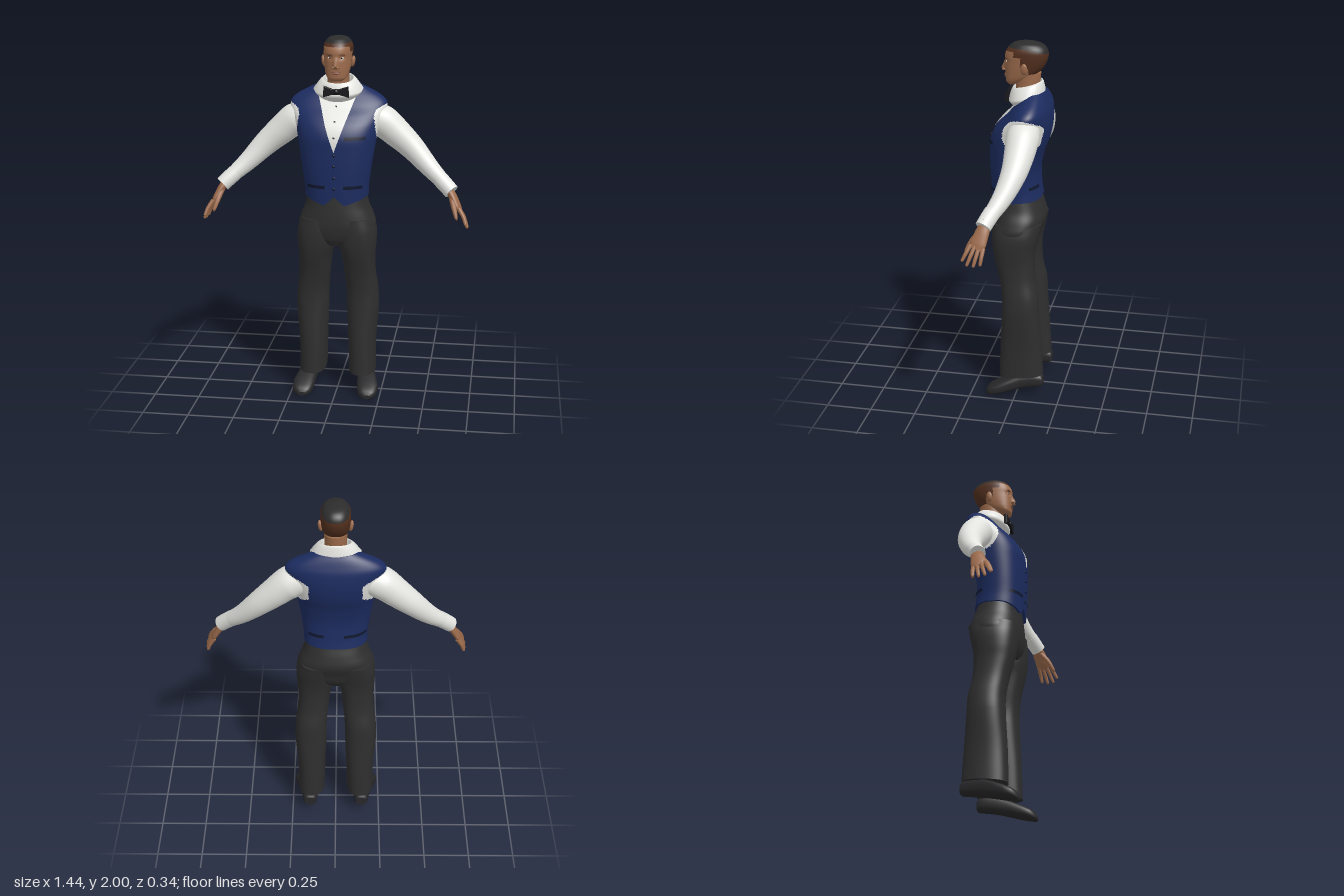
import * as THREE from 'three';

const mat = (name, color) => Object.assign(new THREE.MeshStandardMaterial({ color }), { name });
const V = (x, y, z) => new THREE.Vector3(x, y, z);
const { clamp, lerp } = THREE.MathUtils;

// Closed surface through rings of points; pick(point) chooses a material index per face
function skin(rings, pick = () => 0, caps = true) {
  const n = rings[0].length, pts = rings.flat(), tris = [];
  for (let i = 0; i < rings.length - 1; i++)
    for (let j = 0; j < n; j++) {
      const a = i * n + j, b = i * n + (j + 1) % n, c = a + n, d = b + n;
      tris.push([a, c, b], [b, c, d]);
    }
  if (caps) for (const [ring, top] of [[rings[0], false], [rings.at(-1), true]]) {
    const s = pts.length, mid = V(0, 0, 0);
    ring.forEach(p => mid.addScaledVector(p, 1 / n));
    pts.push(...ring, mid);
    for (let j = 0; j < n; j++) {
      const a = s + j, b = s + (j + 1) % n;
      tris.push(top ? [s + n, b, a] : [s + n, a, b]);
    }
  }
  const sets = [];
  for (const t of tris) {
    const m = pick(V(0, 0, 0).add(pts[t[0]]).add(pts[t[1]]).add(pts[t[2]]).divideScalar(3));
    (sets[m] ??= []).push(...t);
  }
  const g = new THREE.BufferGeometry().setFromPoints(pts);
  g.setIndex(sets.flat());
  let start = 0;
  sets.forEach((s, m) => { g.addGroup(start, s.length, m); start += s.length; });
  g.computeVertexNormals();
  return g;
}

// Smooth interpolation of profile rows [y, halfWidth, zFront, zBack, power, centreX]
function sample(rows, y) {
  let i = 0;
  while (i < rows.length - 2 && y > rows[i + 1][0]) i++;
  const a = rows[i], b = rows[i + 1], h = b[0] - a[0], t = clamp((y - a[0]) / h, 0, 1);
  const p = rows[Math.max(i - 1, 0)], q = rows[Math.min(i + 2, rows.length - 1)];
  return a.map((v, k) => {
    if (k === 0) return y;
    const m0 = (b[k] - p[k]) / (b[0] - p[0]) * h, m1 = (q[k] - v) / (q[0] - a[0]) * h;
    return (2 * t ** 3 - 3 * t * t + 1) * v + (t ** 3 - 2 * t * t + t) * m0
      + (3 * t * t - 2 * t ** 3) * b[k] + (t ** 3 - t * t) * m1;
  });
}
const power = (v, n) => Math.sign(v) * Math.abs(v) ** (2 / n);
function oval([y, rx, zf, zb, n = 2.3, cx = 0], seg) {
  return Array.from({ length: seg }, (_, j) => {
    const t = j / seg * Math.PI * 2;
    return V(cx + rx * power(Math.cos(t), n), y, (zf + zb) / 2 + (zf - zb) / 2 * power(Math.sin(t), n));
  });
}
// Upright body part from profile rows, with an optional rule moving its points
function body(rows, { seg = 48, steps = 5, move, pick } = {}) {
  const rings = [];
  for (let i = 0; i < rows.length - 1; i++)
    for (let k = i ? 1 : 0; k <= steps; k++)
      rings.push(oval(sample(rows, lerp(rows[i][0], rows[i + 1][0], k / steps)), seg));
  if (move) rings.flat().forEach(move);
  return skin(rings, pick);
}
// Depth of a profile's surface at (x, y); dir 1 is front, -1 is back
function depth(rows, x, y, dir = 1) {
  const [, rx, zf, zb, n] = sample(rows, y);
  return (zf + zb) / 2 + dir * (zf - zb) / 2 * (1 - Math.min(Math.abs(x) / rx, 1) ** n) ** (1 / n);
}
// Limb through points, with radii [u, v] across; ref sets the direction of u
function limb(points, radii, { ref = V(0, 0, 1), seg = 20, steps = 6 } = {}) {
  const curve = new THREE.CatmullRomCurve3(points), total = (points.length - 1) * steps, rings = [];
  for (let i = 0; i <= total; i++) {
    const f = i / total, k = Math.min(Math.floor(i / steps), points.length - 2), s = i / steps - k;
    const c = curve.getPoint(f), T = curve.getTangent(f);
    const U = ref.clone().addScaledVector(T, -ref.dot(T)).normalize(), W = U.clone().cross(T);
    const [ru, rv] = [0, 1].map(e => lerp([radii[k]].flat().at(e ? -1 : 0), [radii[k + 1]].flat().at(e ? -1 : 0), s));
    rings.push(Array.from({ length: seg }, (_, j) => {
      const t = j / seg * Math.PI * 2;
      return c.clone().addScaledVector(U, ru * Math.cos(t)).addScaledVector(W, rv * Math.sin(t));
    }));
  }
  return skin(rings);
}

const VEST = [
  [1.14, .172, .15, -.118, 2.4], [1.2, .174, .155, -.11, 2.4], [1.3, .187, .16, -.105, 2.4],
  [1.4, .203, .162, -.125, 2.4], [1.47, .215, .16, -.15, 2.4], [1.53, .228, .138, -.163, 2.4],
  [1.58, .247, .1, -.167, 2.3], [1.62, .263, .06, -.165, 2.2], [1.65, .256, .035, -.16, 2.2],
  [1.68, .222, .01, -.15, 2.2], [1.71, .165, -.015, -.138, 2.2], [1.735, .11, -.03, -.125, 2.2]];
const HEAD = [
  [1.765, .028, .068, .03, 2.3], [1.78, .048, .08, 0, 2.3], [1.8, .06, .083, -.045, 2.3],
  [1.83, .068, .085, -.09, 2.3], [1.86, .073, .085, -.118, 2.3], [1.89, .076, .085, -.135, 2.3],
  [1.92, .078, .086, -.143, 2.3], [1.95, .076, .077, -.14, 2.3], [1.975, .064, .056, -.122, 2.2],
  [1.99, .045, .03, -.09, 2.1], [2, .002, -.025, -.03, 2]];
// Nose and eye sockets
function faceRelief(x, y) {
  const nose = clamp(y > 1.848 ? (1.9 - y) / .052 : 1 - (1.848 - y) / .014, 0, 1);
  const socket = Math.exp(-(((Math.abs(x) - .032) / .016) ** 2) - ((y - 1.893) / .012) ** 2);
  return .024 * nose * Math.exp(-((x / .012) ** 2)) - .007 * socket;
}

export function createModel() {
  const model = new THREE.Group();
  const skinTone = mat('skin', 0x9c6b4c), navy = mat('vest navy', 0x1c2c60), white = mat('shirt white', 0xe4e4e0);
  const charcoal = mat('trouser charcoal', 0x2e2e2e), leather = mat('shoe leather', 0x28282a);
  const dark = mat('dark hair', 0x2c2c2c), fade = mat('brown hair', 0x512f1e), lipTone = mat('lips', 0x8a5545);
  const trim = mat('vest trim', 0x10182f), black = mat('bow black', 0x17171a);
  const add = (name, geo, m) => {
    const mesh = new THREE.Mesh(geo, m);
    mesh.name = name;
    model.add(mesh);
    return mesh;
  };
  const blob = (name, m, p, r) => {
    const mesh = add(name, new THREE.SphereGeometry(1, 16, 12), m);
    mesh.position.set(...p);
    mesh.scale.set(...r);
    return mesh;
  };

  // Vest with pointed hem and white armholes
  add('vest', body(VEST, {
    seg: 112, steps: 6,
    move: p => {
      if (p.y >= 1.2) return;
      const a = Math.abs(p.x);
      const hem = p.z < 0 ? .01 : a < .055 ? lerp(.015, -.035, a / .055) : lerp(-.035, .005, (a - .055) / .115);
      p.y += hem * (1.2 - p.y) / .06;
    },
    pick: p => Math.abs(p.x) > .14 && ((p.y - 1.54) / .095) ** 2 + ((p.z + .045) / .108) ** 2 < 1 ? 1 : 0
  }), [navy, white]);

  // Thin panels lying on the vest
  function panel(name, m, y0, y1, left, right, dir = 1, offset = .005) {
    const rows = 24, cols = 12, pos = [], idx = [];
    for (let i = 0; i <= rows; i++)
      for (let j = 0; j <= cols; j++) {
        const y = lerp(y0, y1, i / rows), x = lerp(left(y), right(y), dir > 0 ? j / cols : 1 - j / cols);
        pos.push(V(x, y, depth(VEST, x, y, dir) + dir * offset));
        const a = i * (cols + 1) + j, c = a + cols + 1;
        if (i < rows && j < cols) idx.push(a, a + 1, c, a + 1, c + 1, c);
      }
    const g = new THREE.BufferGeometry().setFromPoints(pos);
    g.setIndex(idx);
    g.computeVertexNormals();
    add(name, g, m);
  }
  const vee = y => .108 * clamp((y - 1.4) / .3, 0, 1);
  panel('shirtFront', white, 1.4, 1.725, y => -vee(y), vee);
  const pocket = (name, x0, x1, y, dir) => panel(name, trim, y - .009, y + .009, () => x0, () => x1, dir);
  pocket('breastPocket', .055, .165, 1.477, 1);
  for (const s of [-1, 1]) {
    const [a, b] = [.05 * s, .15 * s].sort((p, q) => p - q);
    pocket('frontPocket', a, b, 1.208, 1);
    pocket('backPocket', a + .015 * s, b - .005 * s, 1.225, -1);
  }
  for (const y of [1.2, 1.26, 1.325, 1.385]) blob('vestButton', trim, [0, y, depth(VEST, 0, y) + .002], [.008, .008, .005]);
  for (const y of [1.48, 1.56, 1.63]) blob('shirtButton', charcoal, [0, y, depth(VEST, 0, y) + .006], [.005, .005, .003]);

  // Collar, tilted down to the front
  const collar = [[1.64, .08, .02, -.1], [1.695, .125, .062, -.128], [1.712, .134, .066, -.126],
    [1.755, .1, .052, -.118], [1.768, .084, .044, -.112], [1.765, .076, .038, -.106], [1.71, .07, .03, -.1]]
    .map(r => oval([...r, 2.1], 48));
  collar.flat().forEach(p => { p.y -= .25 * (p.z + .02); });
  add('collar', skin(collar, () => 0, false), white);

  // Bow tie
  const bow = new THREE.Shape([[-.064, .028], [-.02, .012], [.02, .012], [.064, .028], [.066, -.026], [.02, -.012],
    [-.02, -.012], [-.066, -.026]].map(p => new THREE.Vector2(...p)));
  add('bowTie', new THREE.ExtrudeGeometry(bow, { depth: .012, bevelSize: .003, bevelThickness: .004, bevelSegments: 2 }), black)
    .position.set(0, 1.71, .06);
  blob('bowKnot', black, [0, 1.71, .07], [.015, .016, .013]);

  // Neck, head and cropped hair
  add('neck', body([[1.68, .062, .03, -.105, 2], [1.75, .058, .03, -.1, 2], [1.83, .06, .03, -.105, 2]]), skinTone);
  add('head', body(HEAD, {
    seg: 96, steps: 8,
    move: p => { if (p.z > .02) p.z += faceRelief(p.x, p.y); },
    pick: p => {
      if (p.y > 1.966 - .25 * Math.max(0, -p.z - .03)) return 1;
      const back = p.y > 1.948 ? 1 : p.y > 1.92 ? .03 : p.y > 1.865 ? -.008 : p.y > 1.815 ? -.05 : -1;
      return p.z < back ? 2 : 0;
    }
  }), [skinTone, dark, fade]);
  const face = (name, m, x, y, r, out = 0) => blob(name, m, [x, y, depth(HEAD, x, y) + faceRelief(x, y) + out], r);
  face('upperLip', lipTone, 0, 1.817, [.024, .004, .005]);
  face('lowerLip', lipTone, 0, 1.809, [.02, .005, .005]);
  for (const s of [-1, 1]) {
    face('eye', white, s * .032, 1.892, [.011, .005, .004]);
    face('iris', black, s * .031, 1.892, [.0045, .0045, .002], .0035);
    face('brow', fade, s * .034, 1.908, [.016, .003, .004]).rotation.y = s * .35;
    face('nostril', skinTone, s * .012, 1.843, [.008, .007, .01], .002);
    blob('ear', skinTone, [s * .079, 1.862, -.028], [.012, .031, .018]).rotation.z = -s * .15;
  }

  // Trousers: seat and two legs
  add('trouserSeat', body([[.87, .07, .11, -.07], [.91, .165, .13, -.1], [.97, .211, .141, -.118], [1.03, .199, .141, -.138],
    [1.09, .174, .137, -.126], [1.15, .162, .132, -.105], [1.19, .155, .13, -.095]].map(r => [...r, 2.4, 0]), { seg: 64 }), charcoal);
  const legRows = [[.12, .065, .215, .095, -.15], [.3, .06, .215, .09, -.14], [.5, .052, .23, .08, -.125],
    [.6, .05, .225, .08, -.12], [.7, .04, .212, .095, -.1], [.8, .028, .21, .12, -.095],
    [.87, .008, .216, .133, -.1], [.95, 0, .216, .138, -.118], [1.02, 0, .198, .135, -.132]];
  // Shoe stations: z, half width, sole height, top height
  const shoe = [[-.152, .03, .064, .12], [-.14, .038, .06, .135], [-.09, .044, .053, .14], [-.03, .047, .043, .135],
    [.03, .054, .028, .112], [.09, .06, .013, .085], [.135, .054, .004, .062], [.155, .04, .001, .045], [.165, .018, .003, .026]];

  for (const s of [-1, 1]) {
    const P = (x, y, z) => V(s * x, y, z);
    add('trouserLeg', body(legRows.map(([y, xi, xo, zf, zb]) => [y, (xo - xi) / 2, zf, zb, 2.4, s * (xi + xo) / 2]), {
      move: p => { if (p.y < .3) p.y -= .09 * p.z * (.3 - p.y) / .18; }
    }), charcoal);
    add('shoe', skin(shoe.map(([z, w, y0, y1]) => Array.from({ length: 28 }, (_, j) => {
      const t = j / 14 * Math.PI, cx = lerp(.148, .182, clamp((z + .1) / .2, 0, 1));
      return V(s * cx + w * power(Math.cos(t), 2.6), (y0 + y1) / 2 - (y1 - y0) / 2 * power(Math.sin(t), 2.8), z);
    }))), leather);

    // Sleeve and cuff
    add('sleeve', limb([P(.16, 1.565, -.05), P(.24, 1.535, -.052), P(.315, 1.475, -.05), P(.4, 1.4, -.038),
      P(.5, 1.3, .002), P(.6, 1.213, .06)], [.08, .088, .079, .067, .051, .037], { seg: 32 }), white);
    add('cuff', limb([P(.56, 1.247, .038), P(.592, 1.218, .056), P(.624, 1.188, .073)], [.044, .043, .042], { seg: 28 }), white);
    blob('cuffButton', charcoal, [s * .632, 1.232, .065], [.005, .005, .005]);

    // Hand: palm, four fingers and thumb
    const ref = V(-s * .15, .2, 1);
    add('palm', limb([P(.6, 1.21, .058), P(.632, 1.163, .075), P(.66, 1.112, .091), P(.674, 1.085, .1)],
      [[.028, .022], [.037, .021], [.043, .017], [.036, .011]], { ref }), skinTone);
    [.085, .1, .105, .092].forEach((len, i) => {
      const k = i - 1.5, base = P(.667, 1.1 + k * .006, .095 + k * .021);
      const dir = P(.44, -.86, .26 + k * .11).normalize();
      const mid = base.clone().addScaledVector(dir, len * .55).add(P(.005, 0, 0));
      add('finger', limb([base, mid, base.clone().addScaledVector(dir, len * 1.02), base.clone().addScaledVector(dir, len * 1.08)],
        [.0115, .0105, .008, .003], { ref, seg: 12, steps: 4 }), skinTone);
    });
    add('thumb', limb([P(.625, 1.165, .085), P(.64, 1.115, .128), P(.655, 1.065, .155), P(.658, 1.055, .159)],
      [.017, .014, .009, .003], { ref: V(s, 0, 0), seg: 12, steps: 4 }), skinTone);
  }
  return model;
}
